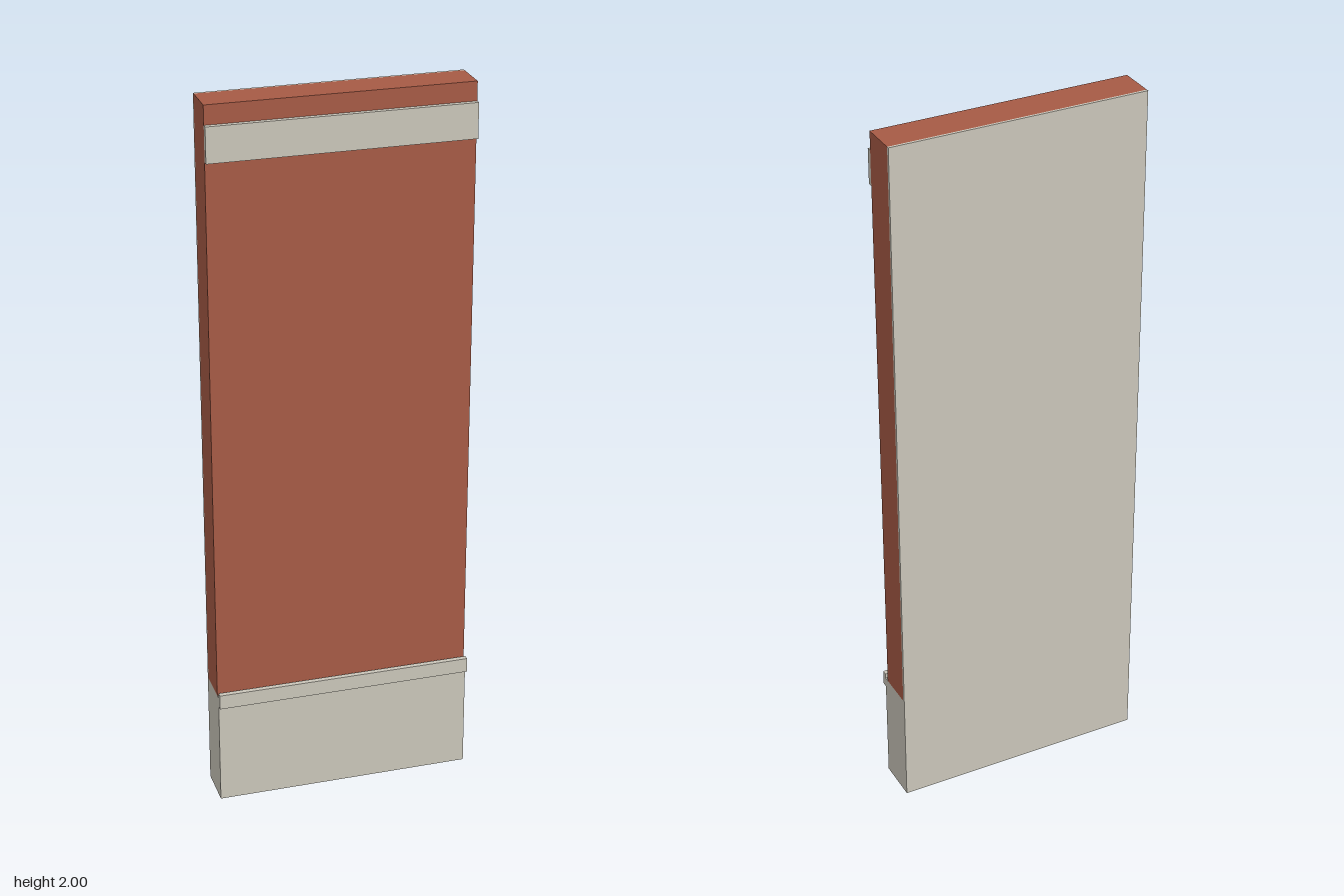
import * as THREE from 'three';

export function createModel() {
  const group = new THREE.Group();
  const brick = new THREE.MeshStandardMaterial({ color: 0xa65a45 });
  brick.name = 'brickRed';
  const stone = new THREE.MeshStandardMaterial({ color: 0xc9c5b9 });
  stone.name = 'paleStone';

  const WIDTH = 0.714;

  // Full-width slab given by its y and z ranges
  function slab(name, material, y0, y1, z0, z1) {
    const mesh = new THREE.Mesh(new THREE.BoxGeometry(WIDTH, y1 - y0, z1 - z0), material);
    mesh.name = name;
    mesh.position.set(0, (y0 + y1) / 2, (z0 + z1) / 2);
    group.add(mesh);
  }

  // Stone plinth and the brick wall standing on it
  slab('plinth', stone, 0, 0.325, -0.062, 0.052);
  slab('brickWall', brick, 0.325, 2, -0.062, 0.038);
  // Thin inner lining covering the back
  slab('backLining', stone, 0, 2, -0.069, -0.062);
  // Projecting trims on the front
  slab('plinthMoulding', stone, 0.297, 0.339, 0.052, 0.067);
  slab('upperBand', stone, 1.852, 1.948, 0.038, 0.052);

  return group;
}
